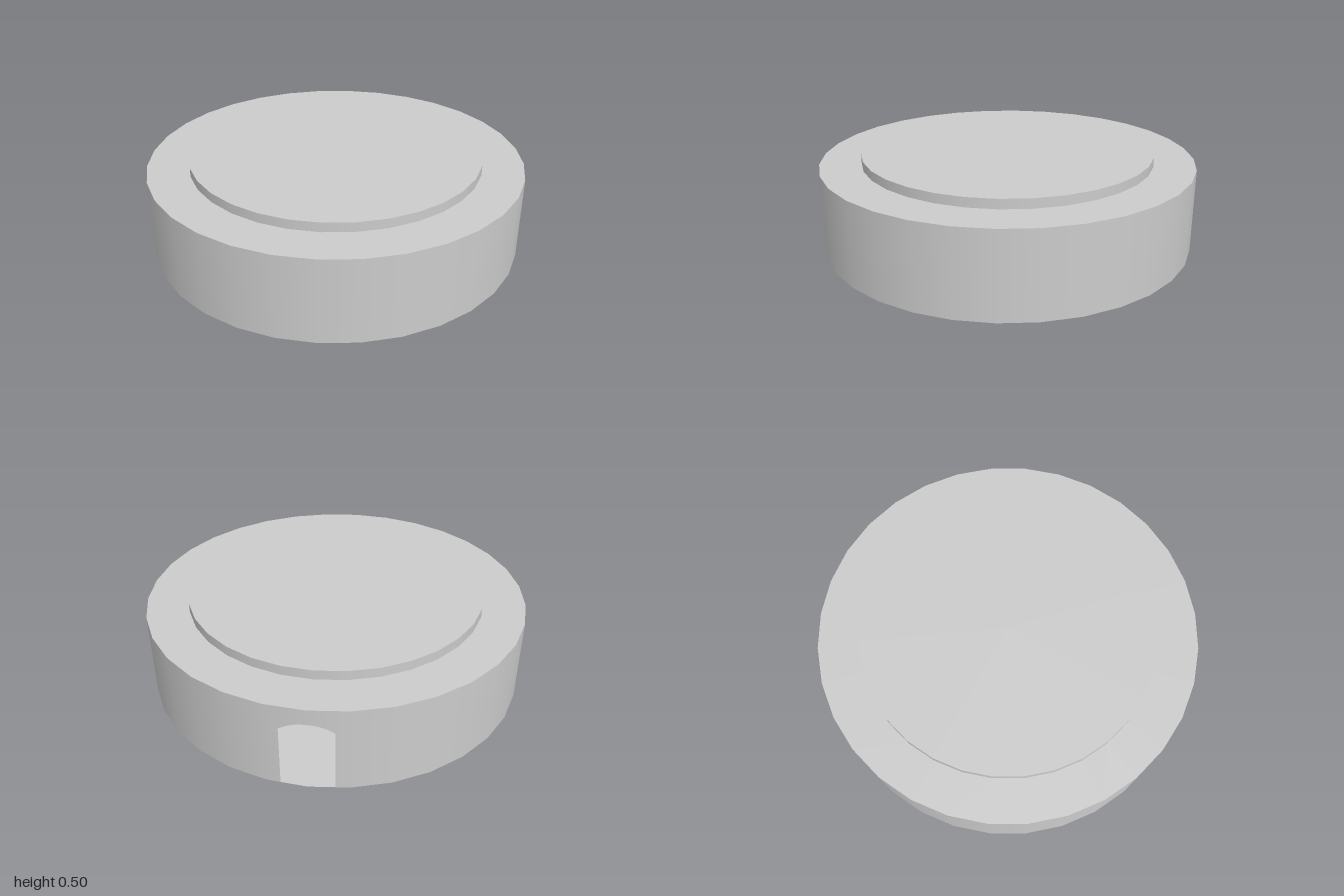
import * as THREE from 'three';

const SIDES = 32, BODY_H = 0.45, CAP_H = 0.05, CAP_R = 0.78;
const material = new THREE.MeshStandardMaterial({ color: 0xcccccc, side: THREE.DoubleSide });

// Point on the 32-sided rim; u counts sides, starting at the middle of the back.
function rimPoint(u) {
  const i = Math.floor(u), f = u - i, step = (2 * Math.PI) / SIDES;
  const at = (k) => new THREE.Vector2(Math.sin(k * step), -Math.cos(k * step));
  return at(i).lerp(at(i + 1), f);
}

// Outer wall with an arched doorway cut into the back.
function wallGeometry() {
  const half = 0.656, sill = 0.323, rise = 0.045;
  const columns = [];
  for (let i = 0; i <= 12; i++) {
    const t = -1 + i / 6;
    columns.push([t * half, sill + rise * (1 - t * t)]);
  }
  columns.push([half, 0]);
  for (let i = 1; i < SIDES; i++) columns.push([i, 0]);
  columns.push([SIDES - half, 0]);

  const positions = [], normals = [], index = [];
  columns.forEach(([u, bottom], i) => {
    const p = rimPoint(u), n = p.clone().normalize();
    for (const y of [bottom, BODY_H]) {
      positions.push(p.x, y, p.y);
      normals.push(n.x, 0, n.y);
    }
    // no quad between the arch's end and the full-height jamb column
    if (i < columns.length - 1 && i !== 12) {
      const a = i * 2;
      index.push(a, a + 1, a + 2, a + 1, a + 3, a + 2);
    }
  });
  const g = new THREE.BufferGeometry();
  g.setAttribute('position', new THREE.Float32BufferAttribute(positions, 3));
  g.setAttribute('normal', new THREE.Float32BufferAttribute(normals, 3));
  g.setIndex(index);
  return g;
}

export function createModel() {
  const model = new THREE.Group();
  const add = (name, geometry, y = 0) => {
    const mesh = new THREE.Mesh(geometry, material);
    mesh.name = name;
    mesh.position.y = y;
    model.add(mesh);
    return mesh;
  };

  // Hollow housing: wall, floor and top rim
  add('outerWall', wallGeometry());
  add('floor', new THREE.CircleGeometry(1, SIDES).rotateX(Math.PI / 2));
  add('topRim', new THREE.RingGeometry(CAP_R, 1, SIDES).rotateX(-Math.PI / 2), BODY_H);

  // Raised round cap
  add('cap', new THREE.CylinderGeometry(CAP_R, CAP_R, CAP_H, SIDES), BODY_H + CAP_H / 2);

  // Small block standing inside, seen through the doorway
  const block = add('innerBlock', new THREE.BoxGeometry(0.07, 0.25, 0.07), 0.125);
  block.position.x = 0.405;
  block.position.z = -0.545;

  return model;
}
